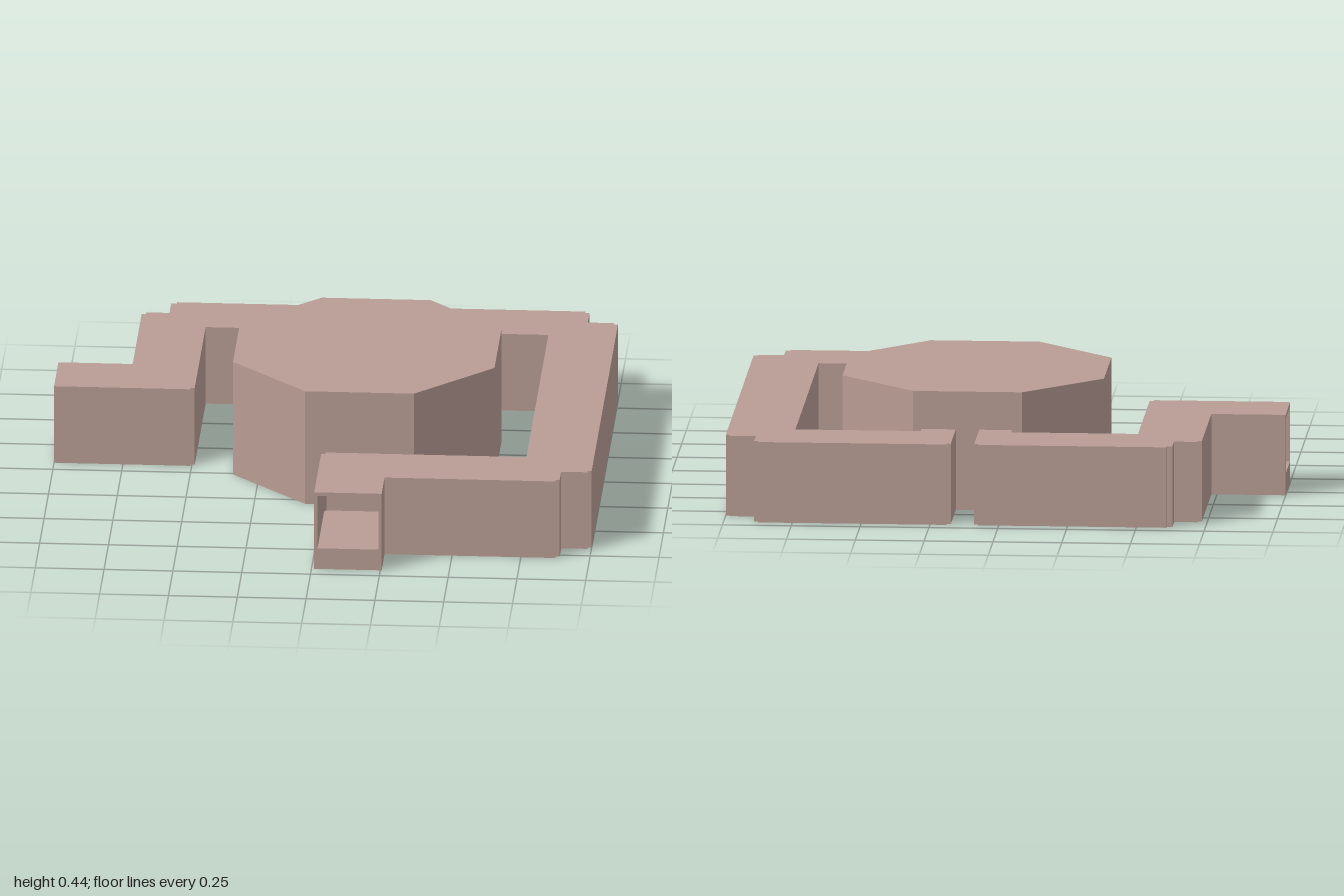
import * as THREE from 'three';

const material = new THREE.MeshStandardMaterial({ color: 0xb89c94, flatShading: true });

// Extrude a plan outline of [x, z] points from height y0 to y1.
function prism(name, plan, y0, y1) {
  const shape = new THREE.Shape(plan.map(([x, z]) => new THREE.Vector2(x, -z)));
  const geometry = new THREE.ExtrudeGeometry(shape, { depth: y1 - y0, bevelEnabled: false });
  geometry.rotateX(-Math.PI / 2).translate(0, y0, 0);
  const mesh = new THREE.Mesh(geometry, material);
  mesh.name = name;
  return mesh;
}

// Hollow corridor: floor, roof, and walls left open at one end.
// Both outlines run from one side of the open end around to the other.
function corridor(name, outer, inner) {
  const group = new THREE.Group();
  group.name = name;
  group.add(
    prism('floor', outer, 0, 0.08),
    prism('walls', [...outer, ...inner.slice().reverse()], 0.08, 0.283),
    prism('roof', outer, 0.283, 0.297)
  );
  return group;
}

export function createModel() {
  const model = new THREE.Group();
  model.name = 'corridorComplex';

  // Octagonal hall
  model.add(prism('octagonalHall', [
    [-0.345, -0.385], [-0.065, -0.66], [0.33, -0.66], [0.605, -0.385],
    [0.605, 0.01], [0.33, 0.29], [-0.065, 0.29], [-0.345, 0.01]
  ], 0, 0.437));

  // Short corridor, open towards -x
  model.add(corridor('shortCorridor', [
    [-1, -0.31], [-0.73, -0.31], [-0.73, -0.82], [-0.715, -0.82], [-0.715, -0.835],
    [-0.63, -0.835], [-0.63, -0.93], [-0.61, -0.93], [-0.61, -0.945],
    [0.075, -0.945], [0.075, -0.93], [0.09, -0.93], [0.09, -0.65],
    [-0.03, -0.65], [-0.03, -0.7], [-0.49, -0.7], [-0.49, -0.08],
    [-0.505, -0.08], [-0.505, -0.067], [-1, -0.067]
  ], [
    [-1, -0.298], [-0.718, -0.298], [-0.718, -0.81], [-0.6, -0.81], [-0.6, -0.92],
    [0.07, -0.92], [0.07, -0.67], [-0.015, -0.67], [-0.015, -0.715],
    [-0.51, -0.715], [-0.51, -0.085], [-1, -0.085]
  ]));

  // Long corridor, open towards +z
  model.add(corridor('longCorridor', [
    [0.255, 0.945], [0.255, 0.78], [0.875, 0.78], [0.875, 0.765], [0.89, 0.765],
    [0.89, 0.68], [0.985, 0.68], [0.985, 0.665], [1, 0.665],
    [1, -0.82], [0.985, -0.82], [0.985, -0.835], [0.89, -0.835],
    [0.89, -0.93], [0.875, -0.93], [0.875, -0.945], [0.19, -0.945],
    [0.19, -0.93], [0.175, -0.93], [0.175, -0.65], [0.3, -0.65], [0.3, -0.7],
    [0.755, -0.7], [0.755, 0.54], [0.025, 0.54], [0.025, 0.555], [0.01, 0.555], [0.01, 0.945]
  ], [
    [0.243, 0.945], [0.243, 0.768], [0.865, 0.768], [0.865, 0.655], [0.985, 0.655],
    [0.985, -0.81], [0.865, -0.81], [0.865, -0.92], [0.195, -0.92], [0.195, -0.67],
    [0.285, -0.67], [0.285, -0.715], [0.77, -0.715], [0.77, 0.56],
    [0.03, 0.56], [0.022, 0.57], [0.022, 0.945]
  ]));

  return model;
}
